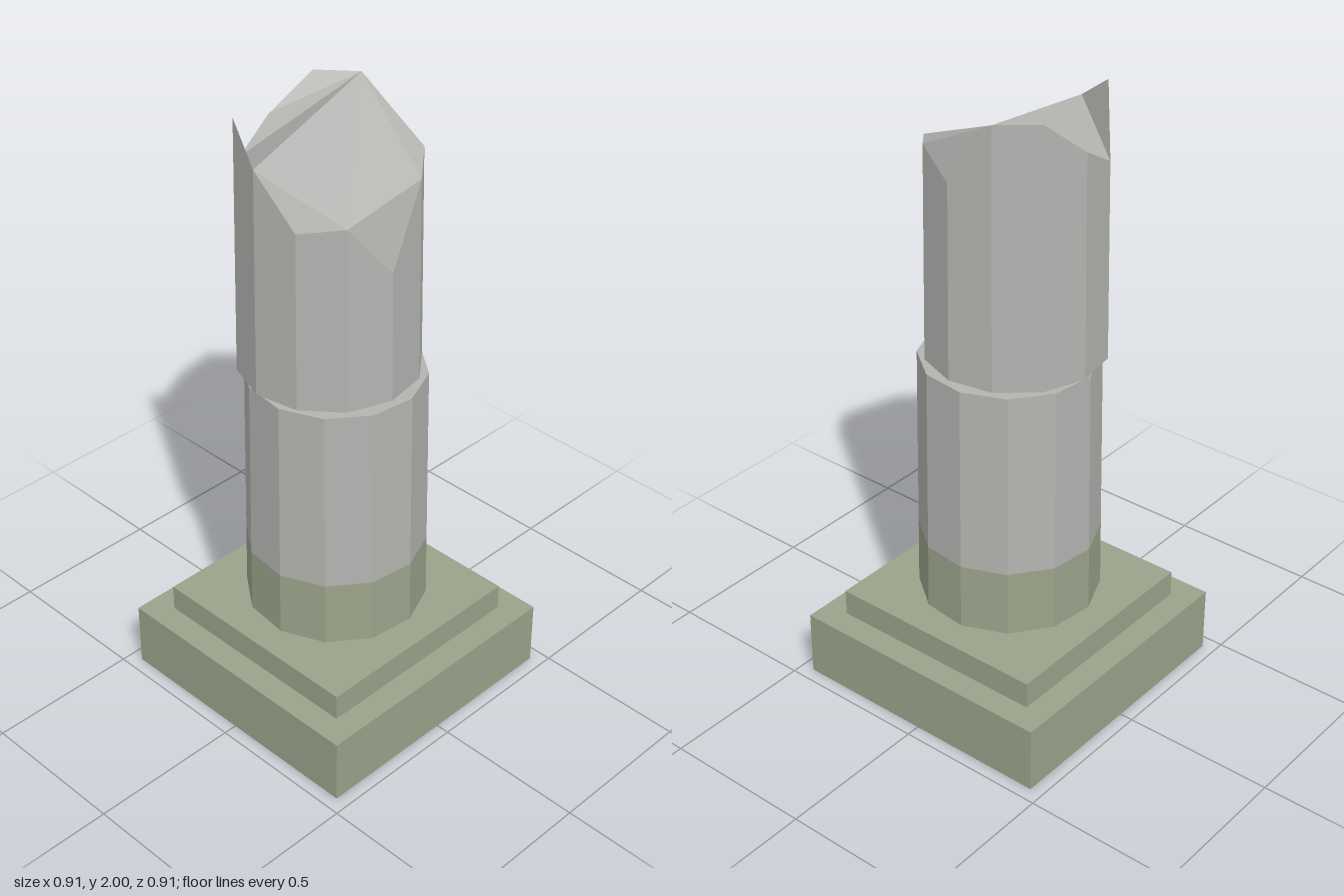
import * as THREE from 'three';

const stone = new THREE.MeshStandardMaterial({ color: 0xb3b3b0, flatShading: true });
stone.name = 'stone';
const moss = new THREE.MeshStandardMaterial({ color: 0x9aa38a, flatShading: true });
moss.name = 'mossyStone';

const SIDES = 12;
const rad = THREE.MathUtils.degToRad;

function add(group, name, geometry, material) {
  const mesh = new THREE.Mesh(geometry, material);
  mesh.name = name;
  group.add(mesh);
}

// Square slab resting between two heights
function slab(width, y0, y1) {
  return new THREE.BoxGeometry(width, y1 - y0, width).translate(0, (y0 + y1) / 2, 0);
}

// Slice of the tapering lower drum
function drumSlice(y0, y1) {
  const radius = (y) => THREE.MathUtils.mapLinear(y, 0.32, 1.155, 0.291, 0.28);
  return new THREE.CylinderGeometry(radius(y1), radius(y0), y1 - y0, SIDES)
    .rotateY(rad(8))
    .translate(0, (y0 + y1) / 2, 0);
}

// Upper drum: a slightly shifted 12-sided tube with a jagged, broken top
function brokenDrum() {
  const bottom = 1.175;
  const rim = [1.8, 1.865, 1.835, 1.6, 1.77, 1.75, 1.905, 2, 1.81, 1.89, 2, 2];
  const points = [];
  const ring = (heightAt) => {
    for (let i = 0; i < SIDES; i++) {
      const a = rad(5 + i * 30);
      const y = heightAt(i);
      const r = 0.282 - 0.014 * (y - bottom);
      points.push(-0.01 + r * Math.cos(a), y, -0.016 + r * Math.sin(a));
    }
  };
  ring(() => bottom);
  ring((i) => rim[i]);

  const index = [];
  for (let i = 0; i < SIDES; i++) {
    const j = (i + 1) % SIDES;
    index.push(j, i, SIDES + i, j, SIDES + i, SIDES + j); // wall
    if (i > 0 && j > 0) index.push(0, i, j); // underside
  }
  // Facets of the fracture, joining rim points
  const facets = [
    [2, 3, 4], [11, 0, 1], [11, 1, 2], [4, 5, 6], [11, 2, 4],
    [11, 4, 6], [6, 7, 8], [9, 10, 11], [6, 8, 11], [8, 9, 11],
  ];
  for (const [a, b, c] of facets) index.push(SIDES + a, SIDES + c, SIDES + b);

  const indexed = new THREE.BufferGeometry();
  indexed.setAttribute('position', new THREE.Float32BufferAttribute(points, 3));
  indexed.setIndex(index);
  const geometry = indexed.toNonIndexed();
  geometry.computeVertexNormals();
  return geometry;
}

export function createModel() {
  const column = new THREE.Group();
  column.name = 'brokenColumn';

  // Stepped base
  add(column, 'plinth', slab(0.912, 0, 0.22), moss);
  add(column, 'upperStep', slab(0.746, 0.22, 0.308), moss);

  // Lower drum with a mossy foot
  add(column, 'mossBand', drumSlice(0.32, 0.54), moss);
  add(column, 'lowerDrum', drumSlice(0.54, 1.155), stone);

  // Broken upper drum
  add(column, 'upperDrum', brokenDrum(), stone);

  return column;
}
